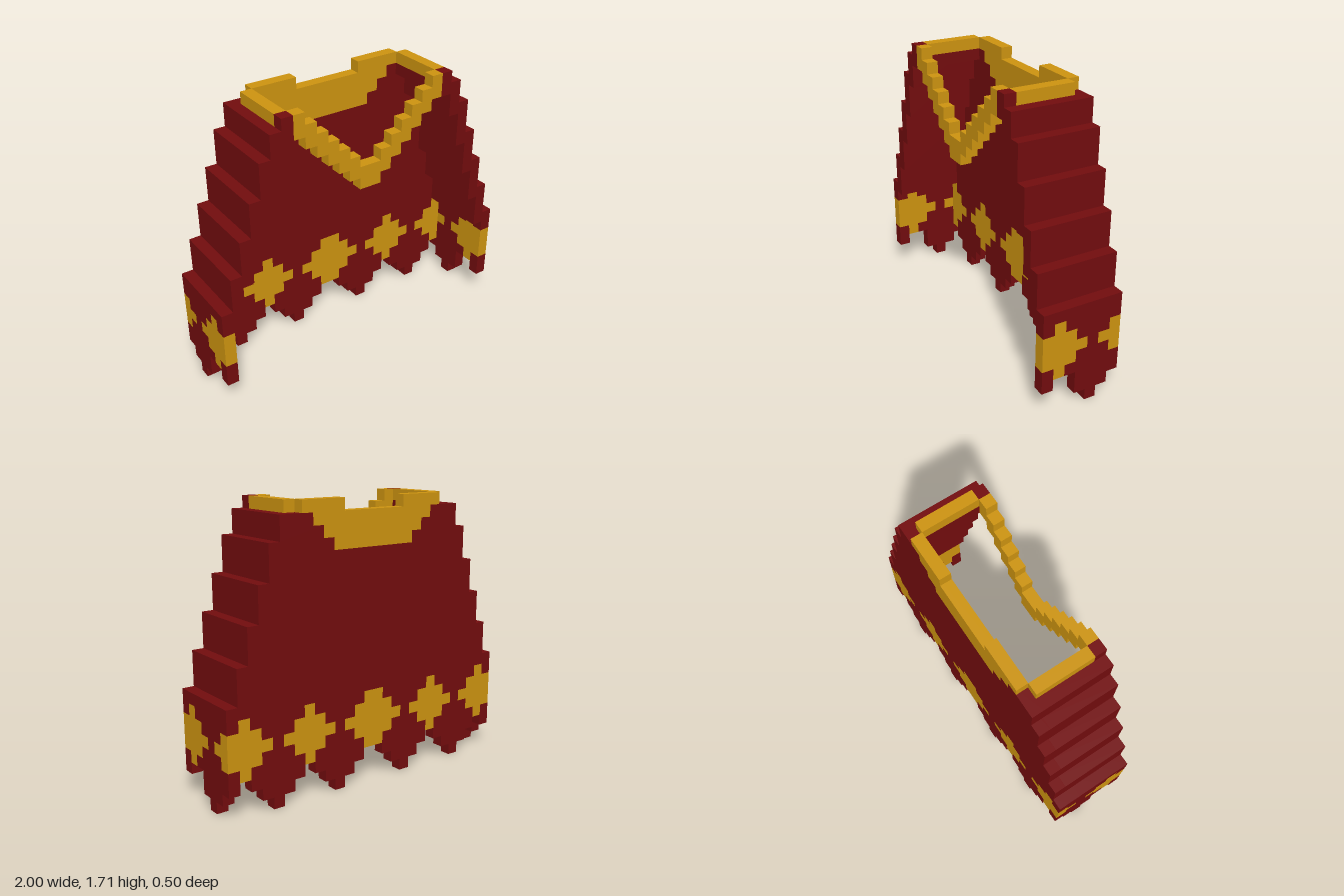
import * as THREE from 'three';
import { mergeGeometries } from 'three/addons/utils/BufferGeometryUtils.js';

const U = 1 / 14; // one block; the cape is 28 x 24 x 7 blocks

// Block-unit box: x from the centre, y from the ground, z from the back
function block(x0, x1, y0, y1, z0, z1) {
  const g = new THREE.BoxGeometry((x1 - x0) * U, (y1 - y0) * U, (z1 - z0) * U);
  g.translate((x0 + x1) / 2 * U, (y0 + y1) / 2 * U, ((z0 + z1) / 2 - 3.5) * U);
  return g;
}

// Same box on both sides of x = 0
function pair(list, x0, x1, ...rest) {
  list.push(block(x0, x1, ...rest), block(-x1, -x0, ...rest));
}

// One hem column: scalloped bottom with a gold diamond, d blocks from its centre
function hemColumn(cloth, trim, x, z, d, bottom) {
  const lo = 3 + d, hi = 8 - d, top = 9;
  if (d > 2) {
    pair(cloth, x, x + 1, bottom, top, z, z + 1);
    return;
  }
  if (bottom < lo) pair(cloth, x, x + 1, bottom, lo, z, z + 1);
  pair(trim, x, x + 1, lo, hi, z, z + 1);
  pair(cloth, x, x + 1, hi, top, z, z + 1);
}

export function createModel() {
  const model = new THREE.Group();
  model.name = 'cape';
  const red = new THREE.MeshStandardMaterial({ name: 'dark red cloth', color: 0x720c0e });
  const gold = new THREE.MeshStandardMaterial({ name: 'gold trim', color: 0xcc9310 });

  const add = (name, material, boxes) => {
    const mesh = new THREE.Mesh(mergeGeometries(boxes), material);
    mesh.name = name;
    model.add(mesh);
  };

  // Hem of the back: diamonds every six blocks
  const backHem = [], backDiamonds = [];
  for (let x = 0; x < 14; x++) {
    const d = Math.min(x % 6, 6 - x % 6);
    hemColumn(backHem, backDiamonds, x, 0, d, 3 - d);
  }
  add('backHem', red, backHem);
  add('backDiamonds', gold, backDiamonds);

  // Hem of the two sides, from back to front: [distance to diamond, bottom]
  const sideHem = [], sideDiamonds = [];
  [[2, 1], [3, 0], [2, 1], [1, 3], [0, 3], [1, 2]].forEach(([d, bottom], i) =>
    hemColumn(sideHem, sideDiamonds, 13, i + 1, d, bottom));
  add('sideHem', red, sideHem);
  add('sideDiamonds', gold, sideDiamonds);

  // Back panel, narrowing upwards, with the gold collar stepped into its top
  const panel = [], collar = [];
  [[13, 9, 12], [12, 12, 15], [11, 15, 18], [10, 18, 20]].forEach(([w, y0, y1]) =>
    panel.push(block(-w, w, y0, y1, 0, 1)));
  [[10, 4], [9, 5], [9, 6]].forEach(([w, c], i) => {
    const y = 20 + i;
    pair(panel, c, w, y, y + 1, 0, 1);
    collar.push(block(-c, c, y, y + 1, 0, 1));
  });
  pair(collar, 3, 7, 23, 24, 0, 1);
  add('backPanel', red, panel);
  add('backCollar', gold, collar);

  // Stepped sides rising to the shoulders
  const sides = [], shoulderTrim = [];
  [[12, 8, 12], [11, 11, 15], [10, 14, 18], [9, 17, 21], [8, 20, 23], [7, 22, 23]]
    .forEach(([x, y0, y1]) => pair(sides, x, x + 1, y0, y1, 1, 7));
  pair(sides, 7, 8, 23, 24, 6, 7);
  pair(shoulderTrim, 7, 8, 23, 24, 1, 6);
  add('steppedSides', red, sides);
  add('shoulderTrim', gold, shoulderTrim);

  // V-shaped neckline across the open front
  const neckline = [];
  for (let x = 0; x < 7; x++) pair(neckline, x, x + 1, 16 + x, 18 + x, 6, 7);
  add('frontNeckline', gold, neckline);

  return model;
}
